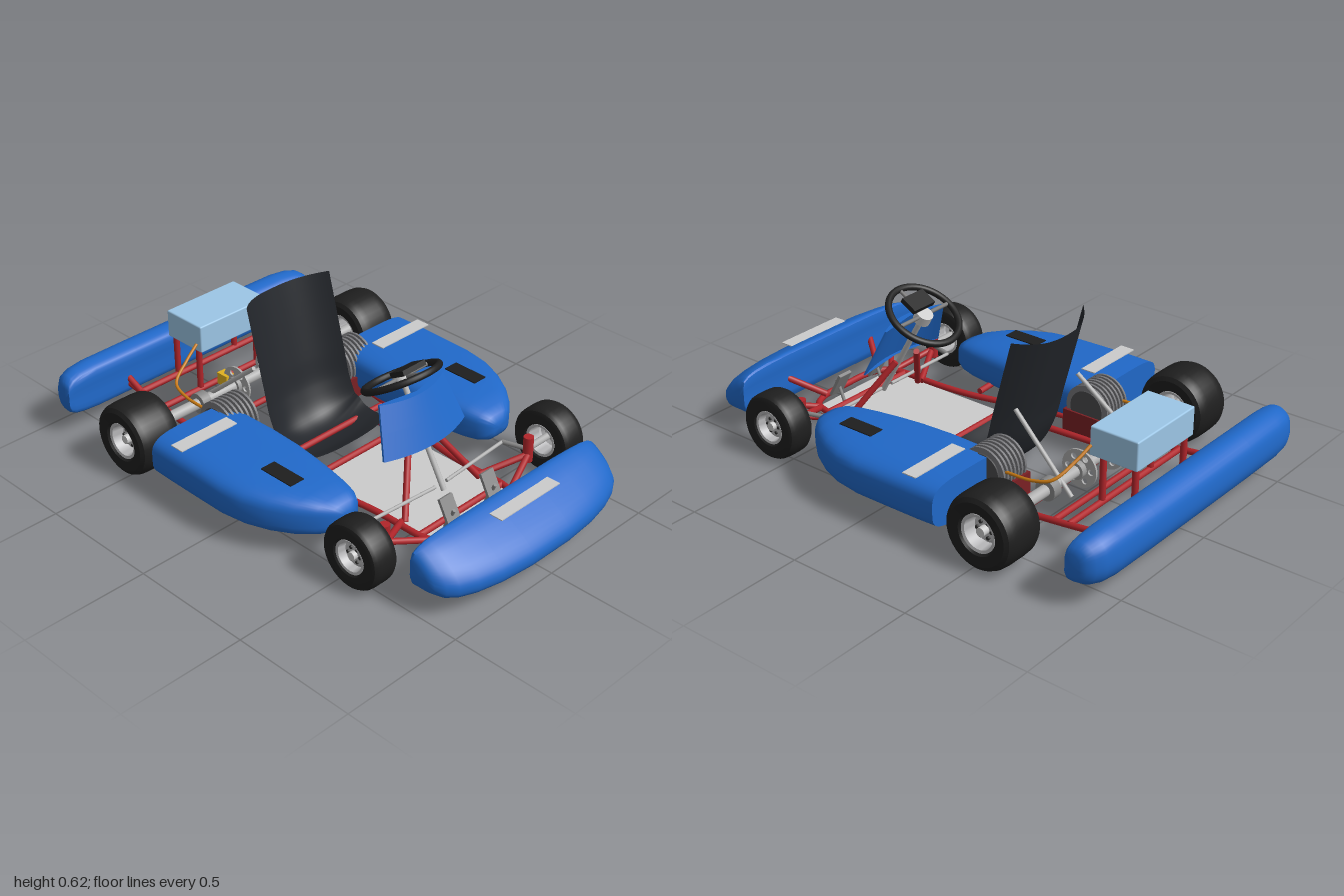
import * as THREE from 'three';
import { toCreasedNormals } from 'three/addons/utils/BufferGeometryUtils.js';
import { ParametricGeometry } from 'three/addons/geometries/ParametricGeometry.js';
import { RoundedBoxGeometry } from 'three/addons/geometries/RoundedBoxGeometry.js';

const BLUE = 0x2068c8, RED = 0xb0252a, BLACK = 0x1e1e1e, SEAT = 0x23262b, GREY = 0xcccccc, ENGINE = 0x4a4a4c;
const V = (x, y, z) => new THREE.Vector3(x, y, z);

function add(parent, name, geo, color = GREY, pos = [0, 0, 0], rot = [0, 0, 0], side = THREE.FrontSide) {
  const mesh = new THREE.Mesh(geo, new THREE.MeshStandardMaterial({ color, side }));
  mesh.name = name;
  mesh.position.set(...pos);
  mesh.rotation.set(...rot);
  parent.add(mesh);
  return mesh;
}

const box = (w, h, d) => new THREE.BoxGeometry(w, h, d);
const cyl = (r, h, n = 24) => new THREE.CylinderGeometry(r, r, h, n);

// Straight bar between two points
function bar(parent, name, a, b, r = 0.0125, color = RED) {
  const p = V(...a), q = V(...b);
  const m = add(parent, name, cyl(r, p.distanceTo(q), 12), color);
  m.position.copy(p).add(q).multiplyScalar(0.5);
  m.quaternion.setFromUnitVectors(V(0, 1, 0), q.sub(p).normalize());
}

// Bent tube through points
function pipe(parent, name, pts, r = 0.0125, color = RED) {
  const curve = new THREE.CatmullRomCurve3(pts.map(p => V(...p)), false, 'centripetal');
  add(parent, name, new THREE.TubeGeometry(curve, 64, r, 10), color);
}

// Closed skin over equal-length loops of points, with flat end caps
function loft(loops) {
  const n = loops[0].length, pts = loops.flat(), idx = [];
  for (let i = 0; i < loops.length - 1; i++)
    for (let j = 0; j < n; j++) {
      const a = i * n + j, b = i * n + (j + 1) % n;
      idx.push(a, b, a + n, b, b + n, a + n);
    }
  for (const [start, flip] of [[0, true], [(loops.length - 1) * n, false]]) {
    const c = pts.length, mid = V(0, 0, 0);
    for (let j = 0; j < n; j++) mid.addScaledVector(pts[start + j], 1 / n);
    pts.push(mid);
    for (let j = 0; j < n; j++) {
      const a = start + j, b = start + (j + 1) % n;
      idx.push(c, ...(flip ? [b, a] : [a, b]));
    }
  }
  let volume = 0;
  for (let i = 0; i < idx.length; i += 3)
    volume += pts[idx[i]].dot(pts[idx[i + 1]].clone().cross(pts[idx[i + 2]]));
  if (volume < 0) idx.reverse();
  const g = new THREE.BufferGeometry().setFromPoints(pts);
  g.setIndex(idx);
  return toCreasedNormals(g, 0.7);
}

// Bumper: an x-y profile swept along z; ends are [z, depth scale, height scale]
function bumper(profile, backX, ends) {
  const ring = new THREE.CatmullRomCurve3(profile.map(p => V(p[0], p[1], 0)), true, 'centripetal').getPoints(40).slice(0, 40);
  const stations = [...ends.map(([z, d, h]) => [-z, d, h]), ...[...ends].reverse()];
  return loft(stations.map(([z, d, h]) => ring.map(p => V(backX + (p.x - backX) * d, 0.16 + (p.y - 0.16) * h, z))));
}

// Side pod: rounded sections [x, inner z, outer z, bottom, top]
function podGeometry(s) {
  const stations = [
    [-0.335, 0.285, 0.67, 0.075, 0.25], [-0.25, 0.275, 0.67, 0.07, 0.252], [-0.1, 0.27, 0.67, 0.068, 0.25],
    [0.03, 0.273, 0.67, 0.068, 0.246], [0.13, 0.283, 0.655, 0.07, 0.242], [0.22, 0.295, 0.62, 0.072, 0.236],
    [0.3, 0.308, 0.572, 0.076, 0.228], [0.36, 0.322, 0.52, 0.086, 0.216], [0.395, 0.342, 0.475, 0.1, 0.2],
    [0.412, 0.37, 0.435, 0.125, 0.175]];
  const soft = v => Math.sign(v) * Math.abs(v) ** 0.55;
  return loft(stations.map(([x, z0, z1, y0, y1]) => Array.from({ length: 40 }, (_, i) => {
    const a = i / 40 * Math.PI * 2;
    return V(x, (y0 + y1) / 2 + soft(Math.sin(a)) * (y1 - y0) / 2, s * ((z0 + z1) / 2 + soft(Math.cos(a)) * (z1 - z0) / 2));
  })));
}

function lathe(pts) {
  return toCreasedNormals(new THREE.LatheGeometry(pts.map(p => new THREE.Vector2(...p)), 40), 0.6);
}

// Wheel with its axle along y, outer face up
function wheel(parent, name, R, w, r, pos, s) {
  const g = new THREE.Group(), h = w / 2;
  g.name = name;
  g.position.set(...pos);
  g.rotation.x = s * Math.PI / 2;
  add(g, 'tyre', lathe([[r, -h * 0.8], [r * 1.15, -h * 0.96], [R * 0.82, -h], [R * 0.93, -h * 0.9], [R * 0.985, -h * 0.7], [R, -h * 0.4],
    [R, h * 0.4], [R * 0.985, h * 0.7], [R * 0.93, h * 0.9], [R * 0.82, h], [r * 1.15, h * 0.96], [r, h * 0.8]]), BLACK, undefined, undefined, THREE.DoubleSide);
  add(g, 'rim', lathe([[0, h * 0.45], [r * 0.62, h * 0.45], [r * 0.8, h * 0.3], [r * 0.88, h * 0.85], [r * 1.04, h * 0.88], [r * 1.04, h * 0.78],
    [r * 0.97, 0], [r * 1.04, -h * 0.88], [r * 0.88, -h * 0.85], [r * 0.8, h * 0.1]]), 0xb8b8ba, undefined, undefined, THREE.DoubleSide);
  add(g, 'hub', cyl(r * 0.25, h * 0.5), GREY, [0, h * 0.5, 0]);
  for (let i = 0; i < 6; i++) {
    const a = i * Math.PI / 3;
    add(g, 'wheelBolt', cyl(r * 0.1, h * 0.12, 8), 0x333333, [Math.cos(a) * r * 0.45, h * 0.48, Math.sin(a) * r * 0.45]);
  }
  parent.add(g);
}

export function createModel() {
  const kart = new THREE.Group();
  kart.name = 'kart';

  // Bumpers
  add(kart, 'frontBumper', bumper([[0.775, 0.08], [0.775, 0.17], [0.778, 0.255], [0.83, 0.246], [0.9, 0.21], [0.965, 0.165], [0.997, 0.12],
    [0.99, 0.08], [0.93, 0.066], [0.85, 0.065], [0.785, 0.066]], 0.775,
  [[0.482, 0.33, 0.4], [0.474, 0.47, 0.65], [0.45, 0.62, 0.8], [0.41, 0.73, 0.9], [0.34, 0.84, 0.96], [0.24, 0.93, 1], [0.1, 0.99, 1], [0, 1, 1]].filter(e => e[0])), BLUE);
  add(kart, 'frontPlate', box(0.062, 0.004, 0.31), GREY, [0.856, 0.243, -0.005]);
  add(kart, 'rearBumper', bumper([[-0.87, 0.085], [-0.87, 0.16], [-0.873, 0.24], [-0.9, 0.256], [-0.94, 0.258], [-0.985, 0.23], [-1, 0.18],
    [-0.998, 0.13], [-0.975, 0.09], [-0.93, 0.074], [-0.885, 0.075]], -0.87,
  [[0.64, 0.45, 0.45], [0.632, 0.62, 0.68], [0.61, 0.8, 0.84], [0.57, 0.92, 0.94], [0.5, 0.98, 1], [0.3, 1, 1]]), BLUE);

  // Frame cross members and floor
  for (const [x, y, z] of [[-0.8, 0.105, 0.345], [-0.67, 0.09, 0.345], [-0.605, 0.08, 0.345], [-0.46, 0.065, 0.345],
    [-0.11, 0.06, 0.3], [0.06, 0.06, 0.27], [0.58, 0.06, 0.225]])
    bar(kart, 'crossBar', [x, y, -z], [x, y, z]);
  pipe(kart, 'frontHoop', [[0.5, 0.06, -0.225], [0.59, 0.06, -0.222], [0.655, 0.06, -0.2], [0.69, 0.06, -0.13], [0.695, 0.06, 0],
    [0.69, 0.06, 0.13], [0.655, 0.06, 0.2], [0.59, 0.06, 0.222], [0.5, 0.06, 0.225]]);
  add(kart, 'floorPan', box(0.6, 0.006, 0.44), GREY, [0.36, 0.046, 0]);

  // Seat: scooped shell with raised edges
  const seatPath = new THREE.CatmullRomCurve3([[0.02, 0.085], [-0.06, 0.047], [-0.14, 0.037], [-0.22, 0.065], [-0.275, 0.16], [-0.31, 0.29], [-0.39, 0.595]].map(p => V(...p, 0)));
  add(kart, 'seat', new ParametricGeometry((u, v, out) => {
    const p = seatPath.getPoint(u), t = seatPath.getTangent(u), k = 2 * v - 1;
    const lift = 0.085 * Math.abs(k) ** 2.6 * Math.min(1, 0.25 + u * 2);
    out.set(p.x + t.y * lift, p.y - t.x * lift, k * 0.212);
  }, 40, 28), SEAT, undefined, undefined, THREE.DoubleSide);

  // Fuel tank on posts
  add(kart, 'fuelTank', new RoundedBoxGeometry(0.2, 0.115, 0.35, 2, 0.006), 0x9cc6e6, [-0.73, 0.333, -0.005]);

  // Rear axle, sprocket, brake disc
  add(kart, 'rearAxle', cyl(0.022, 1.2), 0xb0b0b0, [-0.525, 0.145, 0], [Math.PI / 2, 0, 0]);
  for (const z of [-0.09, 0.08]) {
    const disc = new THREE.Shape().absarc(0, 0, 0.075, 0, Math.PI * 2);
    for (let i = 0; i < 6; i++) {
      const a = i * Math.PI / 3;
      disc.holes.push(new THREE.Path().absarc(Math.cos(a) * 0.05, Math.sin(a) * 0.05, 0.012, 0, Math.PI * 2, true));
    }
    add(kart, 'axleDisc', new THREE.ExtrudeGeometry(disc, { depth: 0.008, bevelEnabled: false, curveSegments: 20 }), 0xaaaaaa, [-0.525, 0.145, z]);
    add(kart, 'discHub', cyl(0.034, 0.05), 0x999999, [-0.525, 0.145, z], [Math.PI / 2, 0, 0]);
  }
  add(kart, 'brakeCaliper', box(0.055, 0.05, 0.04), 0xe0b020, [-0.595, 0.14, 0.082]);

  // Steering wheel and column
  const steering = new THREE.Group();
  steering.name = 'steering';
  steering.position.set(0.275, 0.483, 0);
  steering.rotation.z = 0.52;
  kart.add(steering);
  add(steering, 'steeringWheel', new THREE.TorusGeometry(0.143, 0.0135, 12, 48).rotateX(Math.PI / 2), BLACK);
  add(steering, 'steeringHub', cyl(0.034, 0.04), GREY, [0, -0.01, 0]);
  add(steering, 'display', box(0.072, 0.02, 0.115), BLACK, [0.049, 0.026, 0]);
  for (const a of [0, Math.PI / 2, -Math.PI / 2])
    bar(steering, 'spoke', [0, 0, 0], [Math.cos(a) * 0.14, 0, Math.sin(a) * 0.14], 0.008, 0x777777);
  bar(steering, 'steeringColumn', [0, 0, 0], [0, -0.44, 0], 0.011, 0xb8b8b8);

  // Curved front panel, thick shell
  const panelRows = [0, 0.5, 1].map(v => {
    const edge = off => Array.from({ length: 17 }, (_, i) => {
      const k = i / 8 - 1;
      return V(0.442 - 0.072 * v - 0.045 * k * k - off, 0.275 + 0.183 * v, k * (0.213 - 0.048 * v));
    });
    return [...edge(0), ...edge(0.008).reverse()];
  });
  add(kart, 'frontPanel', loft(panelRows), BLUE);

  for (const s of [1, -1]) {
    const S = s > 0 ? 'left' : 'right', z = s;
    // Frame, each side
    pipe(kart, 'mainRail', [[-0.88, 0.115, 0.345 * z], [-0.6, 0.08, 0.345 * z], [-0.4, 0.062, 0.345 * z], [-0.2, 0.06, 0.34 * z],
      [0, 0.06, 0.3 * z], [0.25, 0.06, 0.24 * z], [0.4, 0.06, 0.225 * z], [0.55, 0.06, 0.225 * z]]);
    bar(kart, 'innerRail', [-0.46, 0.06, 0.235 * z], [0.06, 0.06, 0.2 * z]);
    bar(kart, 'podBar', [-0.2, 0.1, 0.34 * z], [-0.2, 0.1, 0.55 * z]);
    bar(kart, 'podBar', [0.2, 0.09, 0.24 * z], [0.2, 0.1, 0.45 * z]);
    bar(kart, 'bumperStrut', [0.64, 0.06, 0.21 * z], [0.8, 0.09, 0.38 * z]);
    bar(kart, 'bumperStrut', [0.66, 0.085, 0.15 * z], [0.8, 0.16, 0.25 * z]);
    bar(kart, 'rearBumperMount', [-0.8, 0.105, 0.345 * z], [-0.9, 0.15, 0.345 * z]);
    for (const x of [-0.805, -0.67]) bar(kart, 'tankPost', [x, 0.1, 0.15 * z], [x, 0.28, 0.15 * z]);
    bar(kart, 'columnSupport', [0.37, 0.28, 0.06 * z], [0.49, 0.06, 0.2 * z]);
    bar(kart, 'axleCarrier', [-0.46, 0.065, 0.27 * z], [-0.525, 0.145, 0.27 * z]);
    add(kart, 'axleBearing', cyl(0.042, 0.04), 0x888888, [-0.525, 0.145, 0.27 * z], [Math.PI / 2, 0, 0]);
    bar(kart, 'seatStay', [-0.59, 0.11, 0.22 * z], [-0.31, 0.35, 0.185 * z], 0.009, 0xb0b0b0);

    // Front suspension and steering links
    bar(kart, 'stubArm', [0.48, 0.06, 0.21 * z], [0.57, 0.11, 0.38 * z]);
    bar(kart, 'stubArm', [0.63, 0.06, 0.21 * z], [0.57, 0.11, 0.38 * z]);
    bar(kart, 'kingpin', [0.565, 0.08, 0.385 * z], [0.565, 0.185, 0.385 * z], 0.02);
    bar(kart, 'stubAxle', [0.565, 0.135, 0.385 * z], [0.565, 0.135, 0.5 * z], 0.014, 0xb0b0b0);
    bar(kart, 'steeringArm', [0.565, 0.13, 0.385 * z], [0.465, 0.13, 0.355 * z], 0.009, 0x888888);
    bar(kart, 'tieRod', [0.465, 0.13, 0.355 * z], [0.478, 0.12, 0.03 * z], 0.007, 0xb0b0b0);
    add(kart, 'pedal', box(0.012, 0.11, 0.065), 0x888888, [0.62, 0.13, 0.11 * z], [0, 0, 0.5]);
    bar(kart, 'pedalArm', [0.6, 0.05, 0.11 * z], [0.64, 0.14, 0.11 * z], 0.007, 0x888888);

    // Wheels
    wheel(kart, S + 'RearWheel', 0.145, 0.185, 0.07, [-0.525, 0.145, 0.578 * z], s);
    wheel(kart, S + 'FrontWheel', 0.131, 0.116, 0.064, [0.565, 0.134, 0.506 * z], s);

    // Side pods with plates
    add(kart, S + 'Pod', podGeometry(s), BLUE);
    add(kart, 'podPlate', box(0.06, 0.004, 0.265), GREY, [-0.215, 0.253, 0.518 * z]);
    add(kart, 'podPatch', box(0.152, 0.004, 0.064), BLACK, [0.161, 0.245, 0.484 * z]);

    // Finned engines
    add(kart, 'engineBase', box(0.2, 0.09, 0.15), 0x7a2024, [-0.315, 0.11, 0.305 * z]);
    add(kart, 'engineBarrel', cyl(0.072, 0.14), ENGINE, [-0.315, 0.18, 0.308 * z], [Math.PI / 2, 0, 0]);
    for (let i = 0; i < 7; i++)
      add(kart, 'engineFin', cyl(0.094, 0.009, 32), 0x77777a, [-0.315, 0.18, (0.248 + i * 0.02) * z], [Math.PI / 2, 0, 0]);
    pipe(kart, 'fuelLine', [[-0.64, 0.32, 0.185 * z], [-0.625, 0.28, 0.25 * z], [-0.59, 0.23, 0.335 * z], [-0.52, 0.21, 0.352 * z], [-0.4, 0.2, 0.35 * z]], 0.006, 0xc87a14);
  }
  return kart;
}
